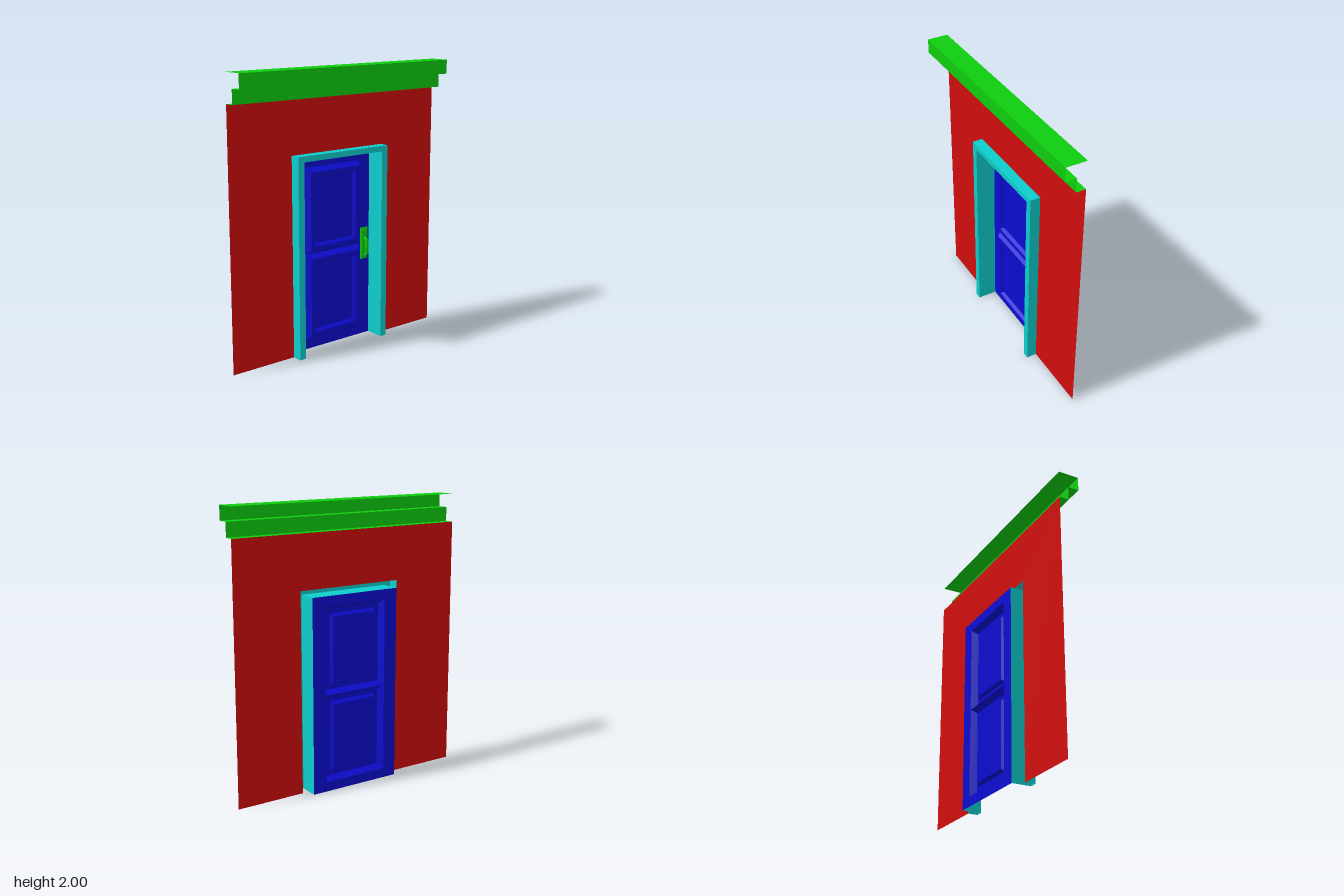
import * as THREE from 'three';

const mat = (color) => new THREE.MeshStandardMaterial({ color, side: THREE.DoubleSide, flatShading: true });
const red = mat(0xd00d0d), green = mat(0x0ecc0e), blue = mat(0x0c0cd0), teal = mat(0x0ecccc);

const WALL_Z = -0.043, FRAME_Z = 0.03, DOOR_Z = -0.11;

function add(parent, name, geometry, material) {
  const mesh = new THREE.Mesh(geometry, material);
  mesh.name = name;
  parent.add(mesh);
  return mesh;
}

// Joins consecutive point rows with quads; optionally closes each row and caps the last one
function loft(rows, closed = false, cap = false) {
  const n = rows[0].length, index = [];
  for (let r = 0; r < rows.length - 1; r++) {
    for (let i = 0; i < (closed ? n : n - 1); i++) {
      const j = (i + 1) % n, a = r * n, b = a + n;
      index.push(a + i, a + j, b + j, a + i, b + j, b + i);
    }
  }
  if (cap) {
    const s = (rows.length - 1) * n;
    for (let i = 1; i < n - 1; i++) index.push(s, s + i, s + i + 1);
  }
  const g = new THREE.BufferGeometry();
  g.setAttribute('position', new THREE.Float32BufferAttribute(rows.flat(2), 3));
  g.setIndex(index);
  const flat = g.toNonIndexed();
  flat.computeVertexNormals();
  return flat;
}

// Counter-clockwise rectangle and three-sided door outline at depth z
const rect = (x0, x1, y0, y1, z) => [[x0, y0, z], [x1, y0, z], [x1, y1, z], [x0, y1, z]];
const arch = (w, h, z) => [[w, 0, z], [w, h, z], [-w, h, z], [-w, 0, z]];

export function createModel() {
  const model = new THREE.Group();
  model.name = 'doorway';

  // Thin wall with a doorway cut out
  const W = 0.895, OUT = 0.395, OUT_TOP = 1.42, IN = 0.345, IN_TOP = 1.38;
  const wall = new THREE.Shape([
    [-W, 0], [-OUT, 0], [-OUT, OUT_TOP], [OUT, OUT_TOP], [OUT, 0], [W, 0], [W, 1.8], [-W, 1.8],
  ].map(([x, y]) => new THREE.Vector2(x, y)));
  add(model, 'wall', new THREE.ShapeGeometry(wall).translate(0, 0, WALL_Z), red);

  // Stepped cornice: an open sheet with no ends or back
  const cornice = [[1.8, WALL_Z], [1.8, 0.025], [1.9, 0.025], [1.9, 0.105], [2, 0.105], [2, WALL_Z]];
  add(model, 'cornice', loft(cornice.map(([y, z]) => [[-W, y, z], [W, y, z]])), green);

  // Door frame: outer return, front face and deep inner jamb
  add(model, 'doorFrame', loft([
    arch(OUT, OUT_TOP, WALL_Z), arch(OUT, OUT_TOP, FRAME_Z),
    arch(IN, IN_TOP, FRAME_Z), arch(IN, IN_TOP, DOOR_Z),
  ]), teal);

  // Door leaf with raised panels
  const door = new THREE.Group();
  door.name = 'door';
  model.add(door);
  const leaf = new THREE.Shape(arch(IN, IN_TOP, 0).map(([x, y]) => new THREE.Vector2(x, y)));
  leaf.holes.push(new THREE.Path(
    rect(-0.245, 0.245, 0.07, 1.31, 0).map(([x, y]) => new THREE.Vector2(x, y))));
  add(door, 'doorLeaf', new THREE.ShapeGeometry(leaf).translate(0, 0, DOOR_Z), blue);

  // Each panel: bevel out, flat moulding, bevel in, sunken field
  const steps = [[0, 0], [0.028, 0.042], [0.06, 0.042], [0.077, 0.02]];
  for (const [name, y0, y1] of [['lowerPanel', 0.07, 0.695], ['upperPanel', 0.695, 1.31]]) {
    add(door, name, loft(steps.map(([inset, dz]) =>
      rect(-0.245 + inset, 0.245 - inset, y0 + inset, y1 - inset, DOOR_Z + dz)), true, true), blue);
  }

  // Handle: bevelled backplate with a pull grip
  const handle = new THREE.Group();
  handle.name = 'handle';
  handle.position.set(0.293, 0.693, DOOR_Z + 0.001);
  door.add(handle);
  add(handle, 'backplate', loft([
    rect(-0.033, 0.033, -0.117, 0.117, 0),
    rect(-0.033, 0.033, -0.117, 0.117, 0.006),
    rect(-0.021, 0.021, -0.095, 0.09, 0.014),
  ], true, true), green);
  const grip = new THREE.Shape([
    [0.012, 0.05], [0.045, 0.035], [0.045, -0.075], [0.012, -0.09],
    [0.012, -0.074], [0.033, -0.062], [0.033, 0.024], [0.012, 0.034],
  ].map(([z, y]) => new THREE.Vector2(z, y)));
  const gripGeometry = new THREE.ExtrudeGeometry(grip, { depth: 0.02, bevelEnabled: false })
    .translate(0, 0, -0.01).rotateY(-Math.PI / 2);
  add(handle, 'pullGrip', gripGeometry, green);

  return model;
}
